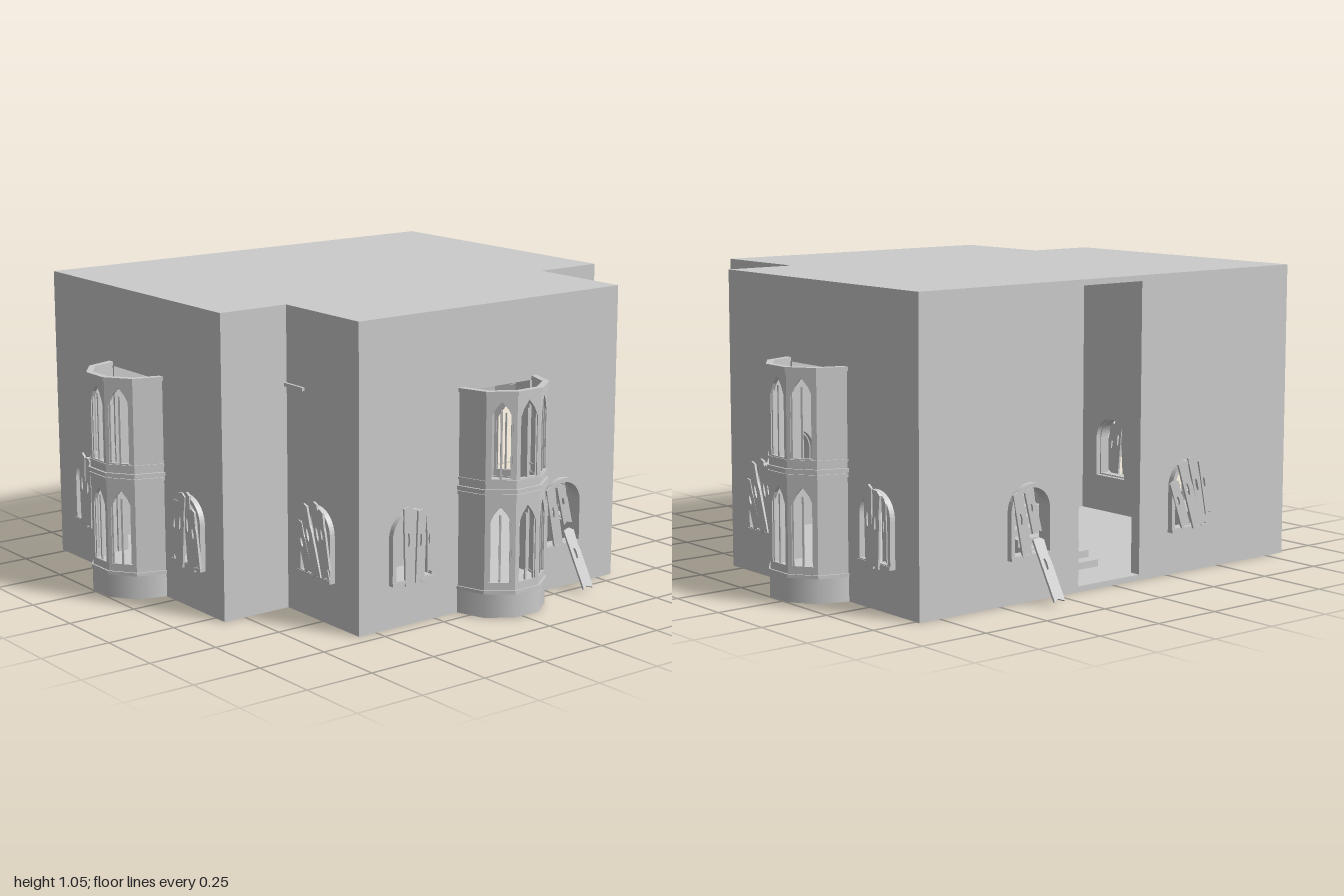
import * as THREE from 'three';

const mat = new THREE.MeshStandardMaterial({ color: 0xcccccc });
const H = 1.05, SLAB = 0.02, T = 0.04;      // house height, floor/roof slab, wall thickness
const R = 0.168, BT = 0.014, BAY_H = 0.78;  // bay radius, bay wall thickness, bay height

function add(parent, name, geometry, x = 0, y = 0, z = 0) {
  const m = new THREE.Mesh(geometry, mat);
  m.name = name;
  m.position.set(x, y, z);
  parent.add(m);
  return m;
}
function group(parent, name, x = 0, y = 0, z = 0, ry = 0) {
  const g = new THREE.Group();
  g.name = name;
  g.position.set(x, y, z);
  g.rotation.y = ry;
  parent.add(g);
  return g;
}
const poly = pts => new THREE.Shape(pts.map(p => new THREE.Vector2(p[0], p[1])));
const rect = (x0, y0, x1, y1) => poly([[x0, y0], [x1, y0], [x1, y1], [x0, y1]]);
const extrude = (shape, depth) =>
  new THREE.ExtrudeGeometry(shape, { depth, bevelEnabled: false, curveSegments: 12 });

// Round-headed opening
function arch(u, w, y0, shoulder) {
  const s = new THREE.Shape();
  s.moveTo(u - w / 2, y0);
  s.lineTo(u + w / 2, y0);
  s.lineTo(u + w / 2, shoulder);
  s.absarc(u, shoulder, w / 2, 0, Math.PI, false);
  s.closePath();
  return s;
}
// Pointed opening of a bay light
const lancet = (w, y0, y1) => poly([[-w / 2, y0], [w / 2, y0], [w / 2, y1 - 0.06],
  [w * 0.3, y1 - 0.028], [0, y1], [-w * 0.3, y1 - 0.028], [-w / 2, y1 - 0.06]]);

// Broken plank with ragged ends and a split
function plank(parent, u, y, z, w, h, tilt) {
  const s = poly([[-w / 2, -h / 2], [-w * 0.1, -h / 2 + 0.008], [w / 2, -h / 2 - 0.004],
    [w / 2, h * 0.1], [w * 0.42, h * 0.2], [w / 2, h / 2 - 0.012],
    [w * 0.1, h / 2], [-w / 2, h / 2 - 0.005]]);
  const split = new THREE.Path();
  split.absellipse(-w * 0.1, h * 0.08, w * 0.13, h * 0.09, 0, Math.PI * 2, true);
  s.holes.push(split);
  const m = add(parent, 'plank', extrude(s, 0.008), u, y, z);
  m.rotation.z = tilt;
  return m;
}

// Plank layouts: [offset, centre height, width, length, tilt]
const BOARDS = {
  upright: [[-0.022, 0.28, 0.04, 0.27, 0.03], [0.024, 0.275, 0.036, 0.25, -0.04],
    [0.064, 0.275, 0.022, 0.2, 0.02]],
  dense: [[-0.06, 0.275, 0.04, 0.2, -0.12], [-0.018, 0.28, 0.042, 0.26, -0.08],
    [0.024, 0.28, 0.04, 0.27, 0.1], [0.064, 0.265, 0.038, 0.2, 0.16]],
  leaning: [[-0.055, 0.25, 0.04, 0.18, 0.35], [-0.012, 0.28, 0.042, 0.25, 0.32],
    [0.034, 0.29, 0.04, 0.26, 0.28], [0.062, 0.3, 0.032, 0.2, 0.2]],
  fallen: [[-0.045, 0.27, 0.04, 0.22, 0.2], [-0.005, 0.31, 0.038, 0.15, 0.25]],
};

function boardedWindow(parent, u, style) {
  const g = group(parent, 'boardedWindow', u);
  const frame = arch(0, 0.18, 0.15, 0.31);
  frame.holes.push(arch(0, 0.15, 0.165, 0.31));
  add(g, 'windowFrame', extrude(frame, 0.04), 0, 0, -0.02);
  add(g, 'windowSill', new THREE.BoxGeometry(0.18, 0.012, 0.045), 0, 0.156, 0);
  BOARDS[style].forEach(([du, y, w, h, tilt], i) => plank(g, du, y, 0.016 + (i % 2) * 0.005, w, h, tilt));
  if (style === 'fallen') {
    const loose = plank(g, 0.03, 0.115, 0.06, 0.045, 0.22, 0.06);
    loose.rotation.x = -0.45;
  }
}

// Half-decagon ring used for the bay mouldings
function halfRing(parent, name, yTop, h, r) {
  const pts = [];
  for (let i = 0; i <= 5; i++) pts.push([r * Math.cos(i * Math.PI / 5), r * Math.sin(i * Math.PI / 5)]);
  const ri = R - BT - 0.004;
  for (let i = 5; i >= 0; i--) pts.push([ri * Math.cos(i * Math.PI / 5), ri * Math.sin(i * Math.PI / 5)]);
  add(parent, name, extrude(poly(pts), h).rotateX(Math.PI / 2), 0, yTop, 0);
}

// Two-storey bay, open at the top
function bay(parent, u) {
  const g = group(parent, 'bayWindow', u);
  add(g, 'bayPlinth', new THREE.CylinderGeometry(R + 0.003, R + 0.003, 0.088, 5, 1, false, -Math.PI / 2, Math.PI), 0, 0.044, 0);
  const half = R * Math.sin(Math.PI / 10), apothem = R * Math.cos(Math.PI / 10);
  for (let i = 0; i < 5; i++) {
    const a = (i + 0.5) * Math.PI / 5;
    const f = group(g, 'bayFacet', apothem * Math.cos(a), 0, apothem * Math.sin(a), Math.PI / 2 - a);
    const s = rect(-half, 0.08, half, BAY_H - 0.002);
    if (i > 0 && i < 4) {
      for (const [y0, y1] of [[0.122, 0.385], [0.48, 0.745]]) {
        s.holes.push(lancet(0.076, y0, y1));
        add(f, 'mullion', new THREE.BoxGeometry(0.007, y1 - y0 - 0.03, 0.007), 0, (y0 + y1) / 2 - 0.015, -BT / 2);
        for (const side of [-1, 1]) // slim inner jambs
          add(f, 'jamb', new THREE.BoxGeometry(0.008, y1 - y0 - 0.05, 0.006), side * 0.036, (y0 + y1) / 2 - 0.025, -BT / 2);
      }
    }
    add(f, 'bayWall', extrude(s, BT), 0, 0, -BT);
  }
  halfRing(g, 'baseMoulding', 0.095, 0.012, R + 0.006);
  halfRing(g, 'lowerStringMoulding', 0.428, 0.012, R + 0.005);
  halfRing(g, 'upperStringMoulding', 0.446, 0.014, R + 0.008);
  halfRing(g, 'sillMoulding', 0.476, 0.008, R + 0.004);
  halfRing(g, 'topMoulding', BAY_H, 0.014, R + 0.006);
}

// Wall facing its own +z, with openings for windows [u, style] and a bay
function wall(parent, name, width, x, z, ry, windows = [], bayAt = null) {
  const g = group(parent, name, x, 0, z, ry);
  const s = rect(-width / 2, SLAB, width / 2, H - SLAB);
  for (const [u, style] of windows) {
    s.holes.push(arch(u, 0.16, 0.16, 0.31));
    boardedWindow(g, u, style);
  }
  if (bayAt !== null) {
    s.holes.push(rect(bayAt - 0.145, 0.088, bayAt + 0.145, 0.765));
    bay(g, bayAt);
  }
  add(g, 'wallPanel', extrude(s, T), 0, 0, -T);
}

export function createModel() {
  const model = new THREE.Group();
  model.name = 'house';
  const L = -0.77, M = 0.305, W = 0.70, Z = 0.833, WZ = 0.57;
  const mid = (L + M) / 2, wingMid = (M + W) / 2;

  // Floor and flat roof share the stepped footprint
  const plan = () => extrude(poly([[L, -Z], [M, -Z], [M, -WZ], [W, -WZ], [W, WZ], [M, WZ], [M, Z], [L, Z]]), SLAB).rotateX(-Math.PI / 2);
  add(model, 'floor', plan());
  add(model, 'roof', plan(), 0, H - SLAB, 0);

  // Front and back walls
  wall(model, 'frontWall', M - L, mid, Z, 0,
    [[-0.545 - mid, 'upright'], [0.105 - mid, 'dense']], -0.222 - mid);
  wall(model, 'backWall', M - L, mid, -Z, Math.PI,
    [[mid + 0.555, 'upright'], [mid - 0.09, 'leaning']], mid + 0.222);
  wall(model, 'wingFrontWall', W - M, wingMid, WZ, 0, [[0.48 - wingMid, 'leaning']]);
  wall(model, 'wingBackWall', W - M, wingMid, -WZ, Math.PI, [[wingMid - 0.44, 'leaning']]);

  // Side walls; the wing steps back from the main block
  wall(model, 'wingSideWall', 2 * WZ, W, 0, Math.PI / 2,
    [[-0.355, 'upright'], [0.315, 'fallen']], 0.02);
  for (const s of [-1, 1])
    wall(model, 'stepWall', Z - WZ, M, s * (Z + WZ) / 2, Math.PI / 2);

  // Entrance side: two panels with a full-height gap between
  const d0 = -0.16, d1 = 0.12;
  const c0 = (d0 - Z) / 2, c1 = (d1 + Z) / 2;
  wall(model, 'entranceWallBack', d0 + Z, L, c0, -Math.PI / 2, [[-0.38 - c0, 'fallen']]);
  wall(model, 'entranceWallFront', Z - d1, L, c1, -Math.PI / 2, [[0.345 - c1, 'leaning']]);

  // Small ledge at the inner corner
  add(model, 'cornerLedge', new THREE.BoxGeometry(0.1, 0.012, 0.012), M + 0.05, 0.78, WZ + 0.004);

  // Stairs inside, rising towards the wing
  const stairs = group(model, 'stairs');
  for (let i = 0; i < 16; i++) {
    const h = 0.025 * (i + 1);
    add(stairs, 'step', new THREE.BoxGeometry(0.05, h, 0.24), -0.56 + i * 0.05, SLAB + h / 2, -0.02);
  }
  return model;
}
